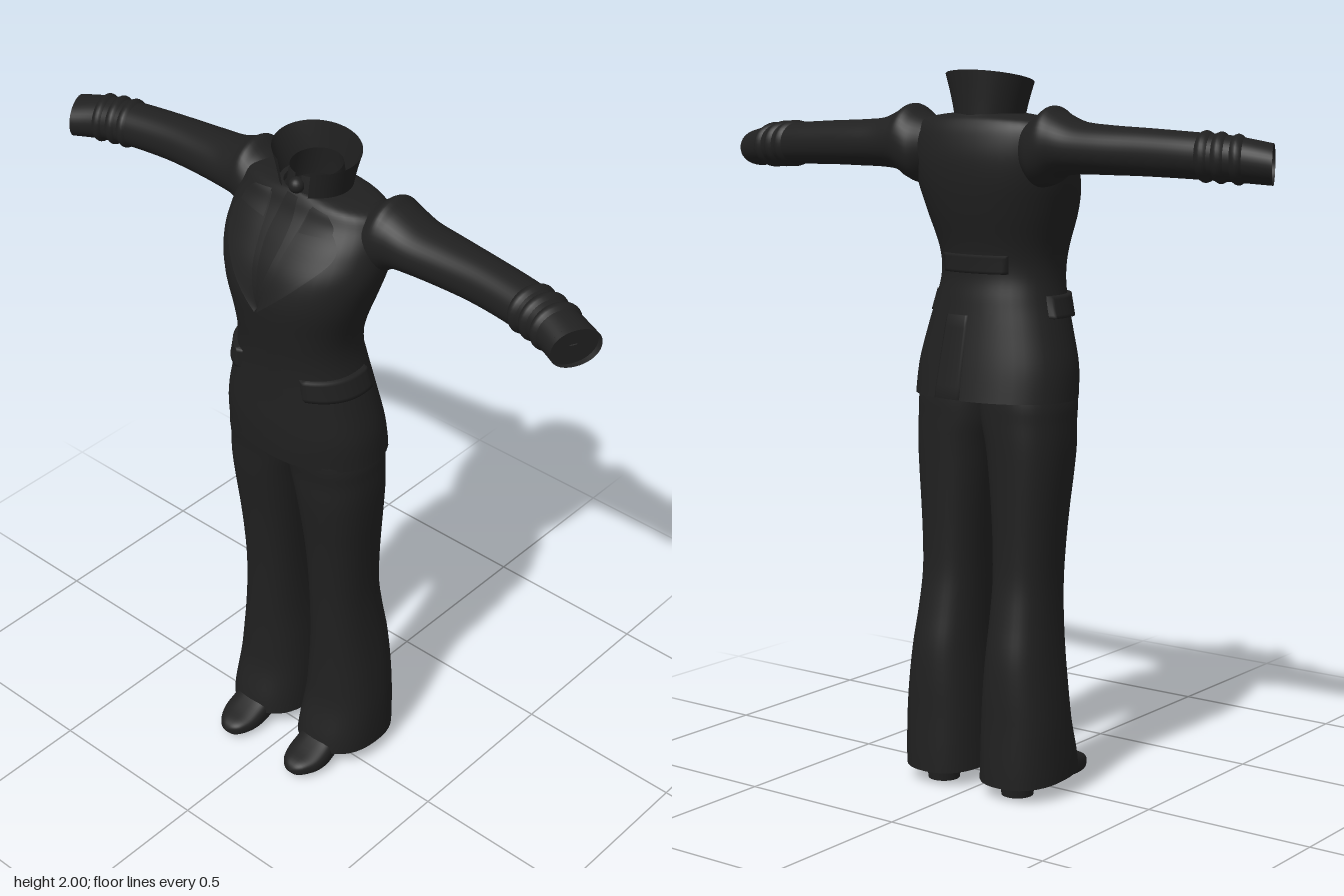
import * as THREE from 'three';

const cloth = new THREE.MeshStandardMaterial({ color: 0x202020, side: THREE.DoubleSide });
cloth.name = 'charcoal cloth';

// Smooth interpolation through a list of cross-sections
function rowAt(rows, t) {
  const f = Math.min(Math.max(t, 0), 1) * (rows.length - 1);
  const i = Math.min(Math.floor(f), rows.length - 2), w = f - i;
  const get = k => rows[Math.min(Math.max(k, 0), rows.length - 1)];
  return rows[0].map((_, c) => {
    const [p, a, b, q] = [get(i - 1)[c], get(i)[c], get(i + 1)[c], get(i + 2)[c]];
    const m = (b - p) / 2, n = (q - a) / 2;
    return a + m * w + (3 * (b - a) - 2 * m - n) * w * w + (2 * (a - b) + m + n) * w * w * w;
  });
}

// Cross-section at a given station (first column)
function rowAtStation(rows, s) {
  let lo = 0, hi = 1;
  for (let i = 0; i < 30; i++) {
    const mid = (lo + hi) / 2;
    if (rowAt(rows, mid)[0] < s) lo = mid; else hi = mid;
  }
  return rowAt(rows, lo);
}

// Point on a rounded section [station, a0, a1, b0, b1]
const power = (v, n) => Math.sign(v) * Math.abs(v) ** (2 / n);
function onRing(r, th, n, grow = 0) {
  return [
    (r[1] + r[2]) / 2 + ((r[2] - r[1]) / 2 + grow) * power(Math.cos(th), n),
    (r[3] + r[4]) / 2 + ((r[4] - r[3]) / 2 + grow) * power(Math.sin(th), n)];
}

// Mesh from a rule point(u, v), optionally closed around u
function surface(name, point, nu, nv, closed = false) {
  const pos = [], idx = [], cols = closed ? nu : nu + 1;
  for (let j = 0; j <= nv; j++)
    for (let i = 0; i < cols; i++) pos.push(...point(i / nu, j / nv));
  for (let j = 0; j < nv; j++)
    for (let i = 0; i < nu; i++) {
      const k = (i + 1) % cols, a = j * cols + i, b = j * cols + k;
      idx.push(a, a + cols, b, b, a + cols, b + cols);
    }
  const g = new THREE.BufferGeometry();
  g.setAttribute('position', new THREE.Float32BufferAttribute(pos, 3));
  g.setIndex(idx);
  g.computeVertexNormals();
  const mesh = new THREE.Mesh(g, cloth);
  mesh.name = name;
  return mesh;
}

const loft = (name, rows, place, n = 2.2, nv = 40) => surface(name, (u, v) => {
  const r = rowAt(rows, v);
  return place(r[0], ...onRing(r, u * Math.PI * 2, n));
}, 40, nv, true);

const alongY = (s, a, b) => [a, s, b];
const alongZ = (s, a, b) => [a, b, s];

// Jacket sections: y, x0, x1, back z, front z
const torso = [
  [1.11, 0.245, -0.195, 0.14], [1.2, 0.24, -0.18, 0.145], [1.3, 0.215, -0.162, 0.143],
  [1.38, 0.192, -0.148, 0.143], [1.45, 0.18, -0.136, 0.148], [1.52, 0.187, -0.143, 0.158],
  [1.62, 0.22, -0.17, 0.168], [1.7, 0.242, -0.186, 0.15], [1.77, 0.245, -0.19, 0.108],
  [1.83, 0.235, -0.18, 0.06], [1.865, 0.21, -0.165, 0.04], [1.88, 0.14, -0.15, 0.03],
  [1.885, 0.085, -0.145, 0.025]].map(([y, w, b, f]) => [y, -w, w, b, f]);
const torsoPoint = (th, y, off) => {
  const [x, z] = onRing(rowAtStation(torso, y), th, 2.2, off);
  return [x, y, z];
};
const frontPoint = (x, y, off) => {
  const r = rowAtStation(torso, y), c = Math.min(Math.abs(x) / r[2], 1);
  const z = (r[3] + r[4]) / 2 + (r[4] - r[3]) / 2 * (1 - c ** 2.2) ** (1 / 2.2);
  return [x, y, z + off];
};

// Raised strip wrapped on the jacket, closed along its edges
function strip(name, th0, th1, y0, y1, off) {
  return surface(name, (u, v) => {
    const k = Math.round(v * 5), end = u === 0 || u === 1;
    const y = y0 + (y1 - y0) * [0, 0, 0.15, 0.85, 1, 1][k];
    return torsoPoint(th0 + (th1 - th0) * u, y, end || k === 0 || k === 5 ? -0.004 : off);
  }, 20, 5);
}

// Thin panel between two edge lines, draped on the jacket front
function panel(name, inner, outer, off) {
  return surface(name, (u, v) => {
    const a = rowAt(inner, v), b = rowAt(outer, v);
    const lift = off * (0.4 + 0.6 * u);
    return frontPoint(a[0] + (b[0] - a[0]) * u, a[1] + (b[1] - a[1]) * u, lift);
  }, 8, 20);
}

// Sleeve sections: x, y0, y1, z0, z1
const sleeve = [
  [0.17, 1.71, 1.87, -0.16, 0.0], [0.2, 1.69, 1.885, -0.18, 0.01], [0.235, 1.7, 1.908, -0.185, 0.01],
  [0.27, 1.722, 1.89, -0.182, 0.002], [0.33, 1.73, 1.868, -0.175, -0.005],
  [0.42, 1.731, 1.86, -0.166, -0.014], [0.53, 1.731, 1.855, -0.152, -0.018],
  [0.65, 1.728, 1.848, -0.137, -0.01], [0.76, 1.723, 1.84, -0.117, 0.006],
  [0.865, 1.716, 1.822, -0.086, 0.04]];
const placeSleeve = (s, y, z) => {
  const k = 0.5 * Math.max(0, (s - 0.5) / 0.365);
  return [s - k * (z + 0.135 - 0.13 * s), y, z];
};

function buildArm() {
  const arm = new THREE.Group();
  arm.name = 'sleeve';
  arm.add(loft('sleeveTube', sleeve, placeSleeve, 2.1, 50));
  // Rolled bands near the cuff
  for (const x of [0.69, 0.73, 0.775])
    arm.add(surface('cuffBand', (u, v) => {
      const s = x - 0.016 + 0.032 * v;
      return placeSleeve(s, ...onRing(rowAtStation(sleeve, s), u * Math.PI * 2, 2.1, 0.008 * Math.sin(v * Math.PI) - 0.001));
    }, 36, 6, true));
  // Recessed lining that closes the cuff
  arm.add(surface('cuffLining', (u, v) => {
    const r = rowAtStation(sleeve, 0.85);
    return placeSleeve(0.85, ...onRing(r, u * Math.PI * 2, 2.1, -0.052 * v));
  }, 36, 1, true));
  return arm;
}

// Flared trouser leg: y, inner x, outer x, back z, front z
const leg = [
  [0.045, 0.008, 0.252, -0.198, 0.1], [0.1, 0.01, 0.252, -0.197, 0.09], [0.2, 0.015, 0.248, -0.193, 0.064],
  [0.3, 0.022, 0.238, -0.191, 0.057], [0.4, 0.03, 0.226, -0.184, 0.055], [0.5, 0.034, 0.216, -0.166, 0.056],
  [0.6, 0.035, 0.211, -0.151, 0.06], [0.7, 0.032, 0.214, -0.148, 0.067], [0.8, 0.025, 0.221, -0.149, 0.077],
  [0.9, 0.014, 0.23, -0.151, 0.09], [0.98, 0.002, 0.235, -0.153, 0.1], [1.05, -0.015, 0.234, -0.154, 0.105],
  [1.12, -0.02, 0.228, -0.154, 0.115], [1.25, -0.02, 0.18, -0.14, 0.115]];
const placeLeg = (s, x, z) => [x, s + Math.max(0, 1 - s / 0.2) * 0.08 * (z + 0.1), z];

// Shoe: z, x0, x1, y0, y1
const shoe = [
  [-0.15, 0.11, 0.15, 0.04, 0.1], [-0.14, 0.09, 0.17, 0.025, 0.13], [-0.08, 0.08, 0.178, 0.022, 0.135],
  [0.0, 0.077, 0.182, 0.018, 0.13], [0.06, 0.07, 0.19, 0.008, 0.105], [0.1, 0.068, 0.195, 0.004, 0.083],
  [0.14, 0.072, 0.19, 0.006, 0.066], [0.175, 0.086, 0.172, 0.01, 0.055], [0.192, 0.104, 0.154, 0.014, 0.044],
  [0.2, 0.128, 0.132, 0.026, 0.03]];

function buildLeg() {
  const g = new THREE.Group();
  g.name = 'leg';
  g.add(loft('trouserLeg', leg, placeLeg, 2.35, 50));
  g.add(surface('hemLining', (u, v) => {
    const r = rowAtStation(leg, 0.07);
    return placeLeg(0.07, ...onRing(r, u * Math.PI * 2, 2.35, -0.1 * v));
  }, 40, 1, true));
  g.add(loft('shoe', shoe, alongZ, 2.8, 30));
  const heel = new THREE.Mesh(new THREE.CylinderGeometry(0.05, 0.045, 0.045, 24), cloth);
  heel.name = 'shoeHeel';
  heel.position.set(0.13, 0.0225, -0.105);
  g.add(heel);
  return g;
}

// Standing collar, open at the throat
function collar(name, gap, base, top, rise) {
  return surface(name, (u, v) => {
    const th = gap + (Math.PI * 2 - 2 * gap) * u, w = v ** 1.3;
    const rx = base[0] + (top[0] - base[0]) * w, rz = base[1] + (top[1] - base[1]) * w;
    const z = -0.057 + rz * Math.cos(th);
    const high = rise - 0.235 * (z + 0.15) * (rise > 1.96 ? 1 : 0.3);
    return [rx * Math.sin(th), 1.855 + (high - 1.855) * v, z];
  }, 40, 8);
}

export function createModel() {
  const model = new THREE.Group();
  model.name = 'suit';

  // Jacket body and collars
  model.add(loft('jacketBody', torso, alongY, 2.2, 70));
  model.add(collar('jacketCollar', 0.45, [0.095, 0.092], [0.132, 0.097], 2.0));
  model.add(collar('shirtCollar', 0.15, [0.08, 0.08], [0.07, 0.07], 1.94));

  // Knotted scarf at the throat
  const knot = new THREE.Mesh(new THREE.SphereGeometry(0.022, 20, 14), cloth);
  knot.name = 'scarfKnot';
  knot.position.set(0, 1.9, 0.02);
  model.add(knot);
  model.add(panel('scarfFront', [[-0.02, 1.88], [-0.03, 1.78], [-0.005, 1.64]],
    [[0.02, 1.88], [0.03, 1.78], [0.005, 1.64]], 0.008));

  // Front overlap and back vent
  model.add(panel('frontOverlap', [[0.0, 1.61], [0.012, 1.35], [-0.02, 1.112]],
    [[-0.05, 1.61], [-0.06, 1.35], [-0.09, 1.112]].map(([x, y]) => [-x, y]), 0.004));
  model.add(strip('backVent', -Math.PI / 2, -Math.PI / 2 + 0.35, 1.112, 1.34, 0.005));

  // Half belt at the back
  model.add(strip('backBelt', -Math.PI / 2 - 0.6, -Math.PI / 2 + 0.6, 1.455, 1.505, 0.01));

  // Mirrored parts
  for (const side of [1, -1]) {
    const half = new THREE.Group();
    half.name = side > 0 ? 'leftHalf' : 'rightHalf';
    half.scale.x = side;
    half.add(buildArm(), buildLeg());
    half.add(strip('pocketFlap', -0.3, 1.05, 1.335, 1.395, 0.012));
    half.add(panel('lapel', [[0.065, 1.865], [0.05, 1.78], [0.028, 1.68], [0, 1.6]],
      [[0.12, 1.855], [0.18, 1.785], [0.12, 1.7], [0.004, 1.59]], 0.014));
    half.add(panel('upperLapel', [[0.07, 1.872], [0.065, 1.84], [0.06, 1.81]],
      [[0.125, 1.868], [0.15, 1.845], [0.155, 1.82]], 0.02));
    model.add(half);
  }
  return model;
}
